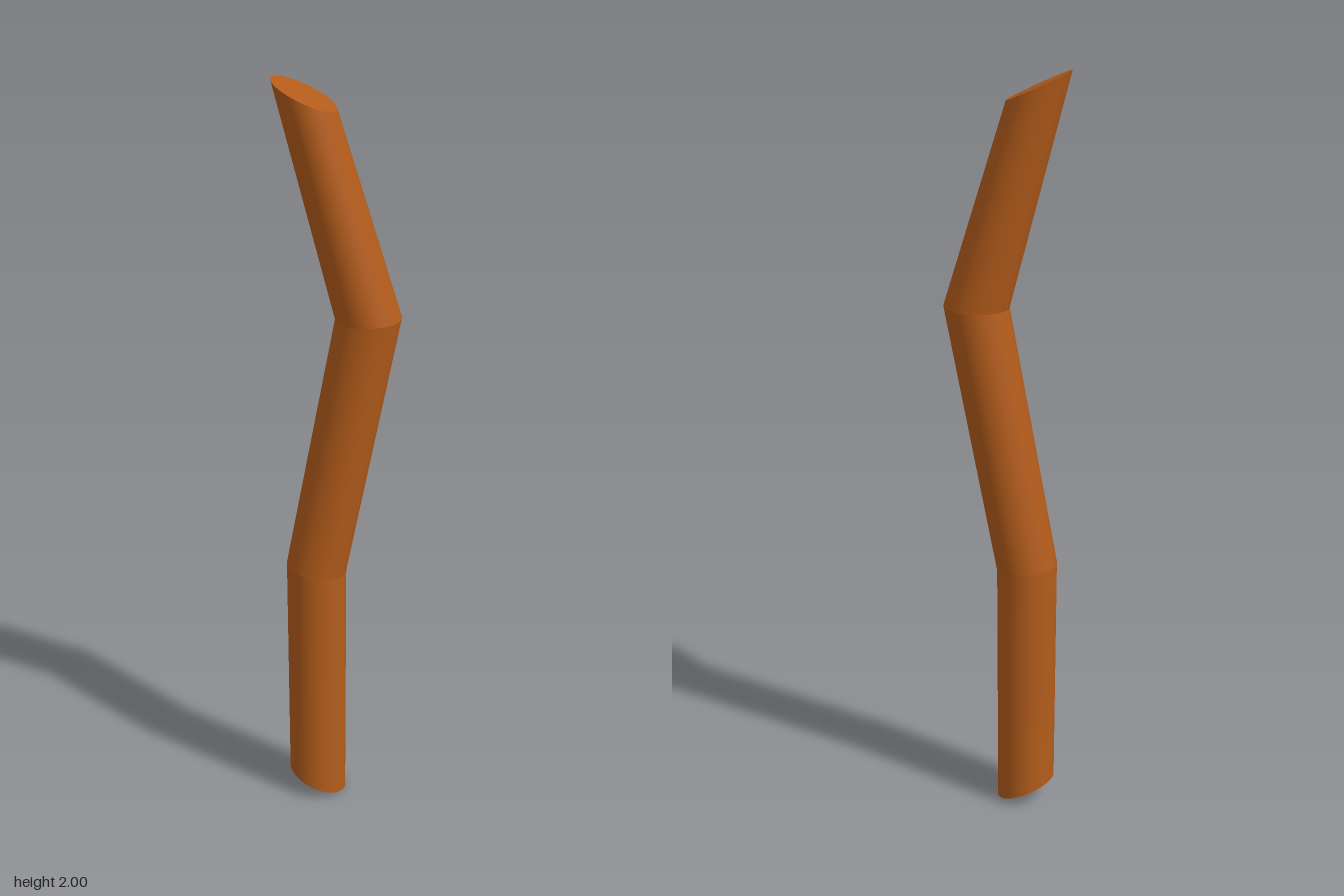
import * as THREE from 'three';
import { toCreasedNormals } from 'three/addons/utils/BufferGeometryUtils.js';

const SIDES = 40;

// Tilted oval rings: left and right edge points in x/y, and half depth in z
const RINGS = [
  { a: [-0.133, 0.068], b: [0.02, 0.003], depth: 0.081 },
  { a: [-0.137, 0.697], b: [0.022, 0.675], depth: 0.083 },
  { a: [-0.007, 1.39], b: [0.163, 1.395], depth: 0.086 },
  { a: [-0.165, 2.0], b: [-0.002, 1.924], depth: 0.091 },
];

// Place a point of the unit circle (u, w) on a ring
function onRing({ a, b, depth }, u, w) {
  const t = (u + 1) / 2;
  return [a[0] + (b[0] - a[0]) * t, a[1] + (b[1] - a[1]) * t, w * depth];
}

// Move every vertex of a unit geometry onto the ring chosen for its height
function fitToRings(geometry, ringAt) {
  const p = geometry.attributes.position;
  for (let i = 0; i < p.count; i++) {
    p.setXYZ(i, ...onRing(ringAt(p.getY(i)), p.getX(i), p.getZ(i)));
  }
  return toCreasedNormals(geometry, 0.6);
}

export function createModel() {
  const model = new THREE.Group();
  model.name = 'bentStick';
  const wood = new THREE.MeshStandardMaterial({ color: 0xb35c1b });

  const add = (name, geometry) => {
    const mesh = new THREE.Mesh(geometry, wood);
    mesh.name = name;
    model.add(mesh);
  };

  // Three straight lengths, smooth around and sharp at each bend
  ['lowerLength', 'middleLength', 'upperLength'].forEach((name, i) => {
    const tube = new THREE.CylinderGeometry(1, 1, 1, SIDES, 1, true);
    add(name, fitToRings(tube, (y) => RINGS[y > 0 ? i + 1 : i]));
  });

  // Slanted cut ends
  const topDisc = new THREE.CircleGeometry(1, SIDES).rotateX(-Math.PI / 2);
  add('topCut', fitToRings(topDisc, () => RINGS[3]));
  const bottomDisc = new THREE.CircleGeometry(1, SIDES).rotateX(Math.PI / 2);
  add('bottomCut', fitToRings(bottomDisc, () => RINGS[0]));

  return model;
}
